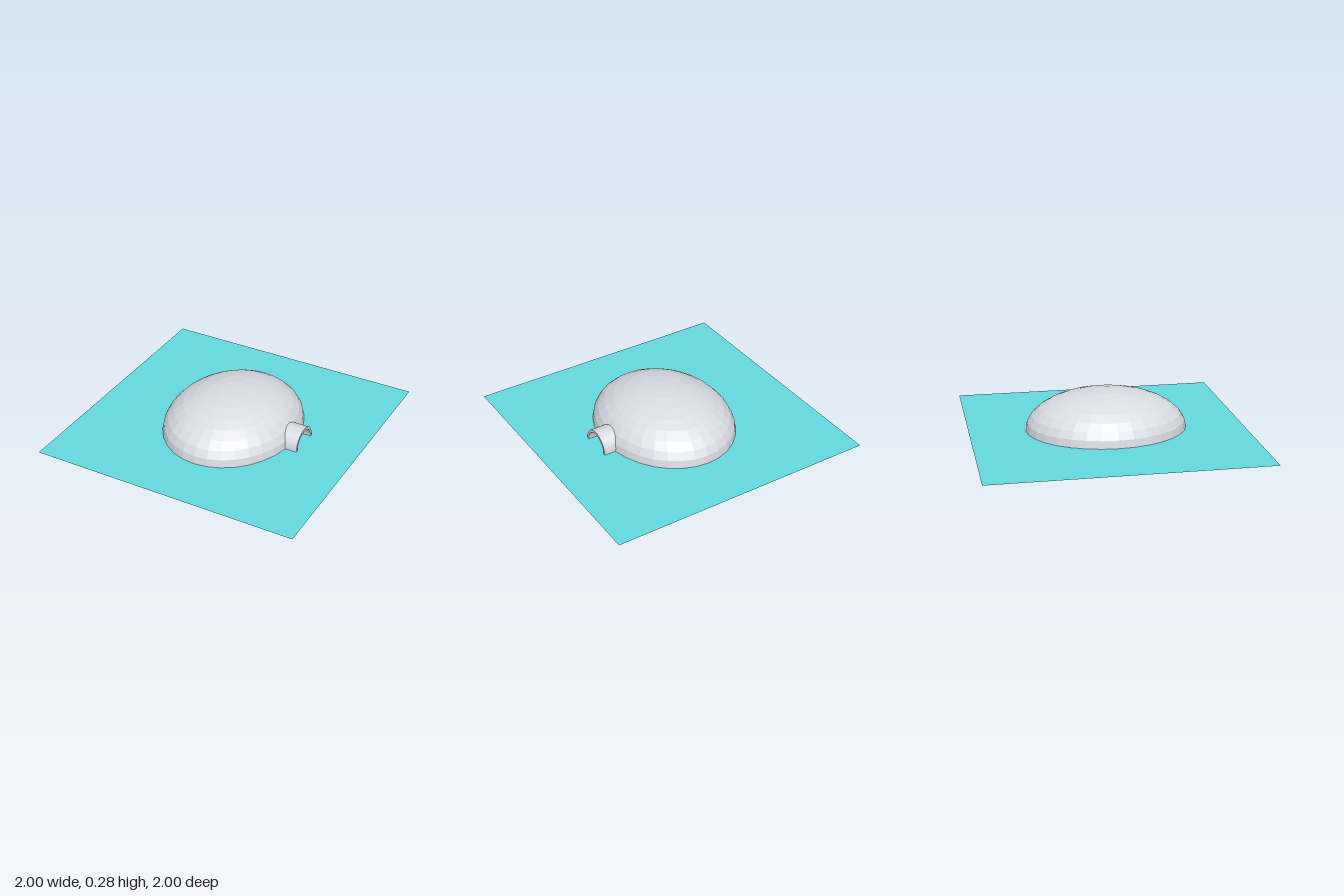
import * as THREE from 'three';

export function createModel() {
  const model = new THREE.Group();
  model.name = 'igloo';

  const snow = new THREE.MeshStandardMaterial({ color: 0xd8dbe2 });
  snow.name = 'snow';
  snow.flatShading = true;
  const water = new THREE.MeshStandardMaterial({ color: 0x64d9df });
  water.name = 'turquoise ground';
  water.side = THREE.DoubleSide;

  const add = (name, geometry, material) => {
    const mesh = new THREE.Mesh(geometry, material);
    mesh.name = name;
    model.add(mesh);
    return mesh;
  };

  // Flat square ground sheet
  add('ground', new THREE.PlaneGeometry(2, 2).rotateX(-Math.PI / 2), water);

  // Faceted half-ellipsoid dome
  const dome = new THREE.SphereGeometry(1, 32, 8, 0, Math.PI * 2, 0, Math.PI / 2);
  dome.scale(0.495, 0.285, 0.59);
  add('dome', dome, snow).position.set(0.027, 0, 0);

  // Arched entrance: half ring extruded along +x out of the dome wall
  const arch = new THREE.Shape();
  arch.absarc(0, 0, 0.125, 0, Math.PI, false);
  arch.absarc(0, 0, 0.105, Math.PI, 0, true);
  arch.closePath();
  const tunnel = new THREE.ExtrudeGeometry(arch, { depth: 0.2, bevelEnabled: false, curveSegments: 16 });
  tunnel.rotateY(Math.PI / 2);
  add('entranceTunnel', tunnel, snow).position.set(0.397, 0.001, 0);

  return model;
}
